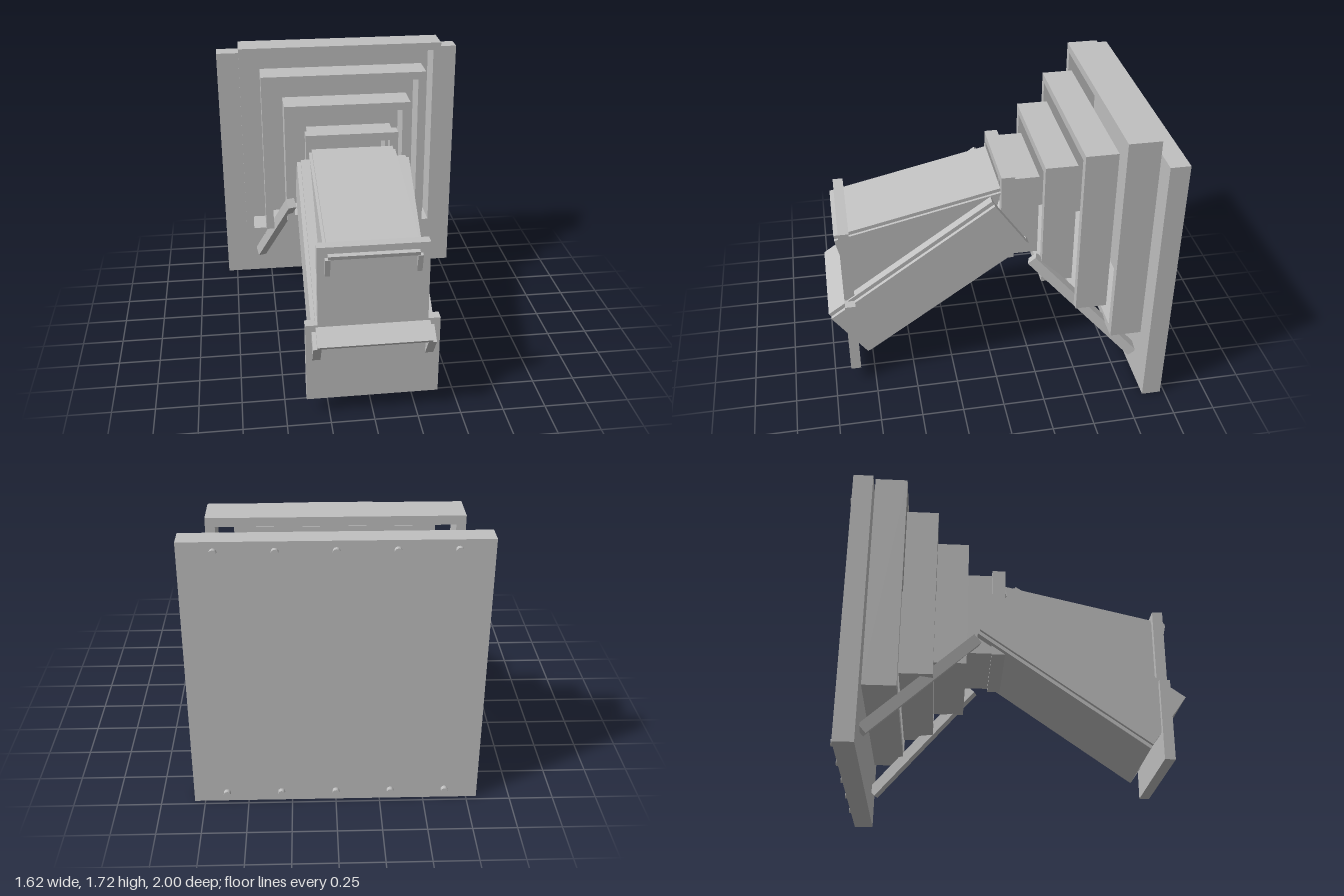
import * as THREE from 'three';

export function createModel() {
  const model = new THREE.Group();
  const grey = new THREE.MeshStandardMaterial({ color: 0xc0c0c0 });
  grey.name = 'plain grey';

  const add = (name, geo, parent = model) => {
    const mesh = new THREE.Mesh(geo, grey);
    mesh.name = name;
    parent.add(mesh);
    return mesh;
  };
  // box from its limits on each axis
  const box = (name, x0, x1, y0, y1, z0, z1, parent) => add(name,
    new THREE.BoxGeometry(x1 - x0, y1 - y0, z1 - z0)
      .translate((x0 + x1) / 2, (y0 + y1) / 2, (z0 + z1) / 2), parent);
  const rect = (Type, w, y0, y1) => new Type([
    [-w, y0], [w, y0], [w, y1], [-w, y1]].map(p => new THREE.Vector2(...p)));
  // open rectangular frame, walls t thick
  const frame = (name, w, y0, y1, z0, z1, t = 0.05) => {
    const shape = rect(THREE.Shape, w, y0, y1);
    shape.holes.push(rect(THREE.Path, w - t, y0 + t, y1 - t));
    return add(name, new THREE.ExtrudeGeometry(shape, { depth: z1 - z0, bevelEnabled: false })
      .translate(0, 0, z0));
  };

  // back plate and its bolts
  box('backPlate', -0.81, 0.81, 0, 1.635, -0.975, -0.86);
  for (const y of [0.06, 1.58]) {
    for (let i = -2; i <= 2; i++) {
      add('bolt', new THREE.CylinderGeometry(0.02, 0.02, 0.035, 12).rotateX(Math.PI / 2))
        .position.set(i * 0.311, y, -0.9825);
    }
  }

  // stepped frames, shrinking toward the front
  frame('largeFrame', 0.665, 0.38, 1.715, -0.86, -0.67);
  frame('mediumFrame', 0.533, 0.513, 1.58, -0.67, -0.48);
  frame('smallFrame', 0.4, 0.647, 1.445, -0.48, -0.29);
  frame('innerFrame', 0.265, 0.778, 1.31, -0.29, -0.14);
  frame('collar', 0.285, 0.765, 1.335, -0.14, -0.06);

  // sloping lower duct, open at both ends
  const duct = new THREE.Group();
  duct.name = 'lowerDuct';
  duct.position.set(0, 0.695, 0.388);
  duct.rotation.x = Math.atan2(0.7, 1);
  model.add(duct);
  const L = 0.61, H = 0.198;
  box('ductTop', -0.322, 0.322, H - 0.022, H, -L, L, duct);
  box('ductBottom', -0.322, 0.322, -H, -H + 0.022, -L, L, duct);
  for (const s of [-1, 1]) {
    const wall = box('ductWall', -0.012, 0.012, -H + 0.022, H - 0.022, -L, L, duct);
    wall.position.x = s * 0.31;
    const panel = box('ductSidePanel', -0.0115, 0.0115, -H + 0.02, H - 0.024, -L, L, duct);
    panel.position.x = s * 0.3335;
  }

  // hood above the duct: side profiles given as (z, y), extruded across x
  const profile = (name, pts, x0, x1) => add(name,
    new THREE.ExtrudeGeometry(new THREE.Shape(pts.map(p => new THREE.Vector2(...p))),
      { depth: x1 - x0, bevelEnabled: false }).rotateY(-Math.PI / 2).translate(x1, 0, 0));
  profile('hoodTop', [[-0.06, 1.247], [-0.064, 1.225], [0.921, 1.003], [0.926, 1.025]], -0.25, 0.25);
  for (const s of [-1, 1]) {
    profile('hoodSide', [[-0.06, 1.226], [-0.03, 1.1], [0.83, 0.58], [0.924, 1.003]],
      s * 0.2525 - 0.0145, s * 0.2525 + 0.0145);
  }

  // stepped front plate
  box('frontPlateLower', -0.38, 0.38, 0.1, 0.59, 0.838, 0.9);
  box('frontPlateUpper', -0.31, 0.31, 0.59, 1.07, 0.838, 0.9);

  // splayed struts from duct to back plate
  for (const s of [-1, 1]) {
    const a = new THREE.Vector3(s * 0.375, 0.81, -0.235);
    const b = new THREE.Vector3(s * 0.57, 0.155, -0.855);
    const strut = add('strut', new THREE.BoxGeometry(0.055, 0.065, a.distanceTo(b)));
    strut.position.copy(a).lerp(b, 0.5);
    strut.lookAt(b);
  }
  return model;
}
